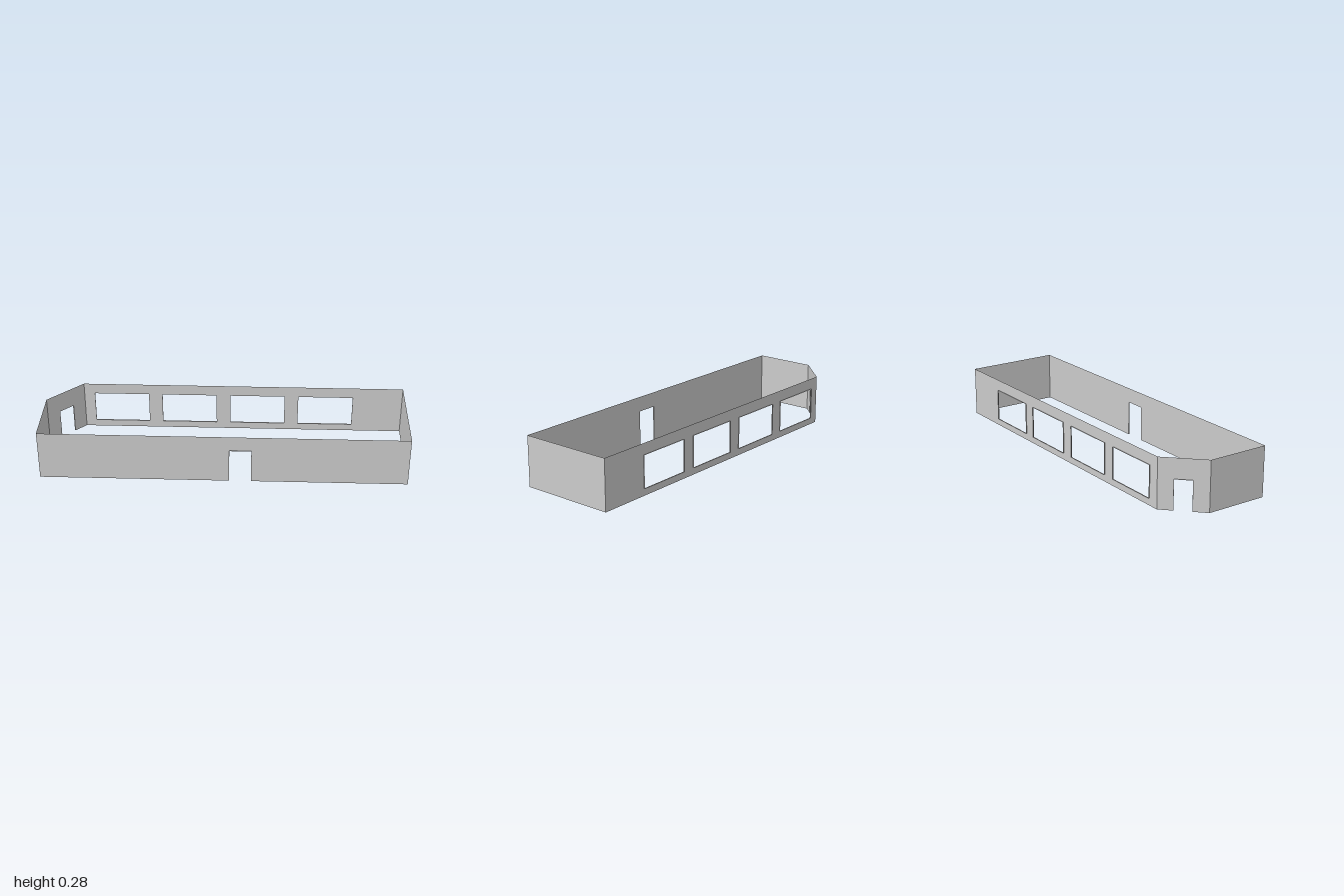
import * as THREE from 'three';

const HEIGHT = 0.28;
const REVEAL = 0.006; // how far the opening edges project outwards

const material = new THREE.MeshStandardMaterial({ color: 0xcccccc, side: THREE.DoubleSide, flatShading: true });

// Thin strip following an outline of [u, v] points, standing out from the wall.
function ribbon(points) {
  const positions = [];
  for (let i = 0; i < points.length - 1; i++) {
    const [a, b] = points[i], [c, d] = points[i + 1];
    positions.push(a, b, 0, c, d, 0, c, d, REVEAL, a, b, 0, c, d, REVEAL, a, b, REVEAL);
  }
  const geometry = new THREE.BufferGeometry();
  geometry.setAttribute('position', new THREE.Float32BufferAttribute(positions, 3));
  geometry.computeVertexNormals();
  return geometry;
}

// Wall sheet between two plan points [x, z]; local +z faces outwards.
// An opening is { u, width, bottom, top }; bottom 0 makes a doorway.
function makeWall(name, from, to, openings = []) {
  const dx = to[0] - from[0], dz = to[1] - from[1];
  const length = Math.hypot(dx, dz);
  const wall = new THREE.Group();
  wall.name = name;
  wall.position.set(from[0], 0, from[1]);
  wall.rotation.y = Math.atan2(-dz, dx);

  const outline = [[0, 0]];
  const holes = [];
  for (const { u, width, bottom, top } of openings) {
    const r = u + width;
    const isDoor = bottom === 0;
    const edge = isDoor
      ? [[u, 0], [u, top], [r, top], [r, 0]]
      : [[u, bottom], [u, top], [r, top], [r, bottom], [u, bottom]];
    if (isDoor) outline.push(...edge);
    else holes.push(new THREE.Path(edge.slice(0, 4).map((p) => new THREE.Vector2(...p))));
    const reveal = new THREE.Mesh(ribbon(edge), material);
    reveal.name = isDoor ? 'doorReveal' : 'windowReveal';
    wall.add(reveal);
  }
  outline.push([length, 0], [length, HEIGHT], [0, HEIGHT]);

  const shape = new THREE.Shape(outline.map((p) => new THREE.Vector2(...p)));
  shape.holes = holes;
  const sheet = new THREE.Mesh(new THREE.ShapeGeometry(shape), material);
  sheet.name = name + 'Sheet';
  wall.add(sheet);
  return wall;
}

export function createModel() {
  const model = new THREE.Group();
  model.name = 'roomWalls';

  // Plan corners, counter-clockwise from above
  const frontRight = [-1, 0.267], frontLeft = [1, 0.267], backLeft = [1, -0.267];
  const chamferBack = [-0.815, -0.267], chamferSide = [-1, -0.082];

  // Four equal windows along the back
  const windows = [0.28, 0.668, 1.057, 1.445].map((u) => ({ u, width: 0.31, bottom: 0.04, top: 0.218 }));

  model.add(
    makeWall('frontWall', frontRight, frontLeft, [{ u: 1.033, width: 0.118, bottom: 0, top: 0.196 }]),
    makeWall('leftWall', frontLeft, backLeft),
    makeWall('backWall', backLeft, chamferBack, windows),
    makeWall('cornerWall', chamferBack, chamferSide, [{ u: 0.083, width: 0.094, bottom: 0, top: 0.168 }]),
    makeWall('rightWall', chamferSide, frontRight),
  );
  return model;
}
